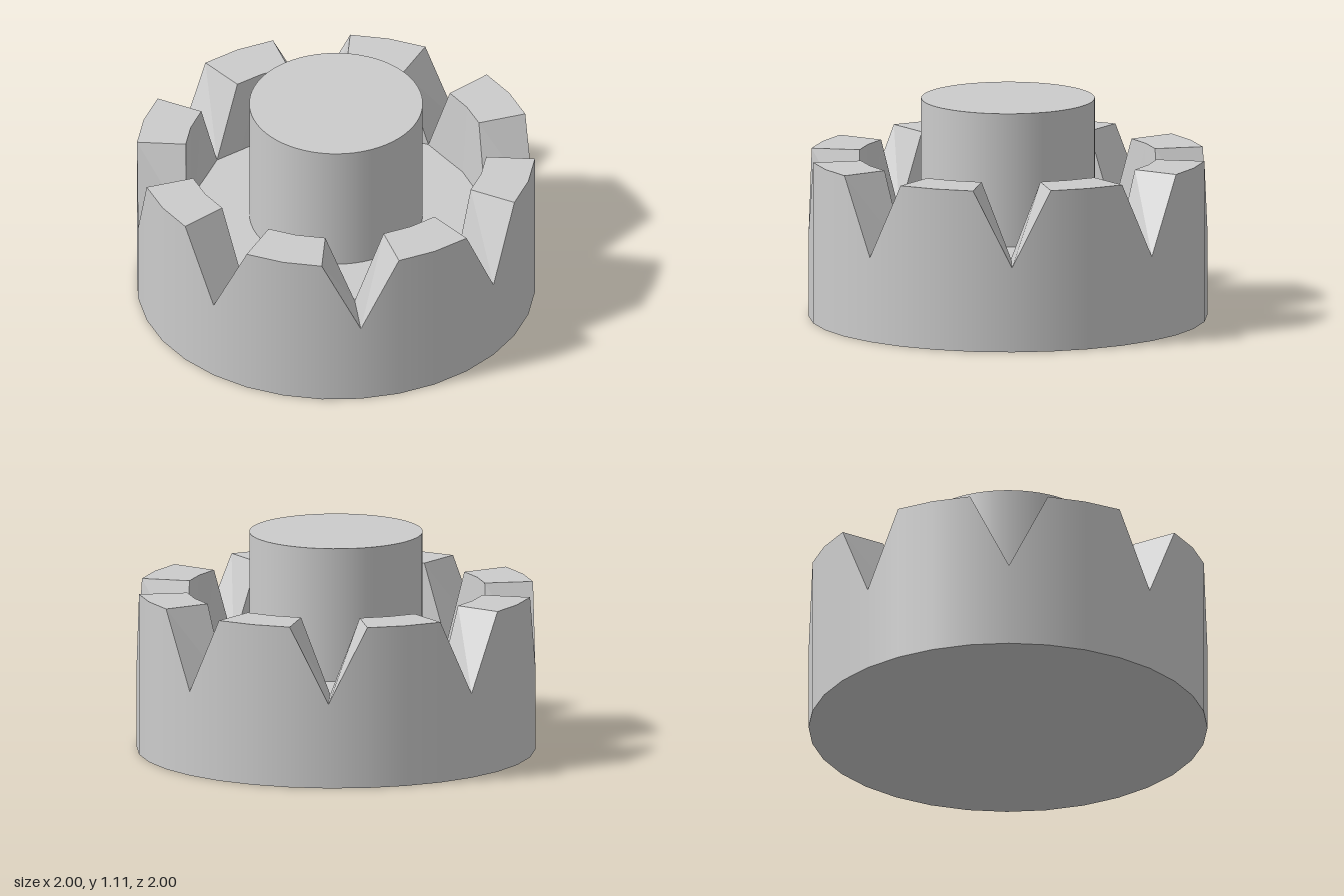
import * as THREE from 'three';

const SIDES = 32, STEP = (Math.PI * 2) / SIDES, TEETH = 8;
const TOP = 0.82, FLOOR = 0.43, INNER = 0.755;
const HUB_RADIUS = 0.435, HUB_TOP = 1.11;

const material = new THREE.MeshStandardMaterial({ color: 0xcccccc });
const at = (step, radius, y) =>
  new THREE.Vector3(Math.sin(step * STEP) * radius, y, Math.cos(step * STEP) * radius);

// Flat-shaded geometry from four-cornered faces, dropping collapsed triangles
function facets(quads) {
  const points = [];
  for (const [a, b, c, d] of quads) {
    for (const tri of [[a, b, c], [a, c, d]]) {
      if (new THREE.Triangle(...tri).getArea() > 1e-6) points.push(...tri);
    }
  }
  const geometry = new THREE.BufferGeometry().setFromPoints(points);
  geometry.computeVertexNormals();
  return geometry;
}

function addMesh(parent, name, geometry) {
  const mesh = new THREE.Mesh(geometry, material);
  mesh.name = name;
  parent.add(mesh);
  return mesh;
}

export function createModel() {
  const model = new THREE.Group();
  model.name = 'castleNut';

  // Outer wall: open cylinder whose rim dips into a notch at every fourth vertex
  const wall = new THREE.CylinderGeometry(1, 1, 1, SIDES, 1, true);
  const pos = wall.attributes.position;
  for (let i = 0; i < pos.count; i++) {
    const rim = i <= SIDES;
    pos.setY(i, rim ? (i % 4 === 2 ? FLOOR : TOP) : 0);
  }
  addMesh(model, 'outerWall', wall);

  // Underside
  addMesh(model, 'underside', new THREE.CircleGeometry(1, SIDES).rotateX(Math.PI / 2));

  // One tooth: sloped flanks, flat top and the inner face leaning in to the floor
  const heights = [FLOOR, TOP, TOP, TOP, FLOOR];
  const footRadii = [INNER, 0.727, 0.73, 0.727, INNER];
  const outer = heights.map((y, i) => at(i - 2, 1, y));
  const inner = heights.map((y, i) => at(i - 2, INNER, y));
  const foot = footRadii.map((r, i) => at(i - 2, r, FLOOR));
  const faces = [];
  for (let i = 0; i < 4; i++) {
    faces.push([outer[i], outer[i + 1], inner[i + 1], inner[i]]);
    faces.push([inner[i], inner[i + 1], foot[i + 1], foot[i]]);
  }
  const toothGeometry = facets(faces);

  // Floor sector belonging to one tooth
  const centre = new THREE.Vector3(0, FLOOR, 0);
  const floorGeometry = facets(
    [0, 1, 2, 3].map((i) => [centre, foot[i], foot[i + 1], centre]));

  const teeth = new THREE.Group();
  teeth.name = 'teeth';
  const floor = new THREE.Group();
  floor.name = 'recessFloor';
  for (let t = 0; t < TEETH; t++) {
    const angle = (t / TEETH) * Math.PI * 2;
    addMesh(teeth, 'tooth', toothGeometry).rotation.y = angle;
    addMesh(floor, 'floorSector', floorGeometry).rotation.y = angle;
  }
  model.add(teeth, floor);

  // Central hub
  const hubHeight = HUB_TOP - FLOOR;
  const hub = new THREE.CylinderGeometry(HUB_RADIUS, HUB_RADIUS, hubHeight, 64);
  addMesh(model, 'hub', hub).position.y = FLOOR + hubHeight / 2;

  return model;
}
